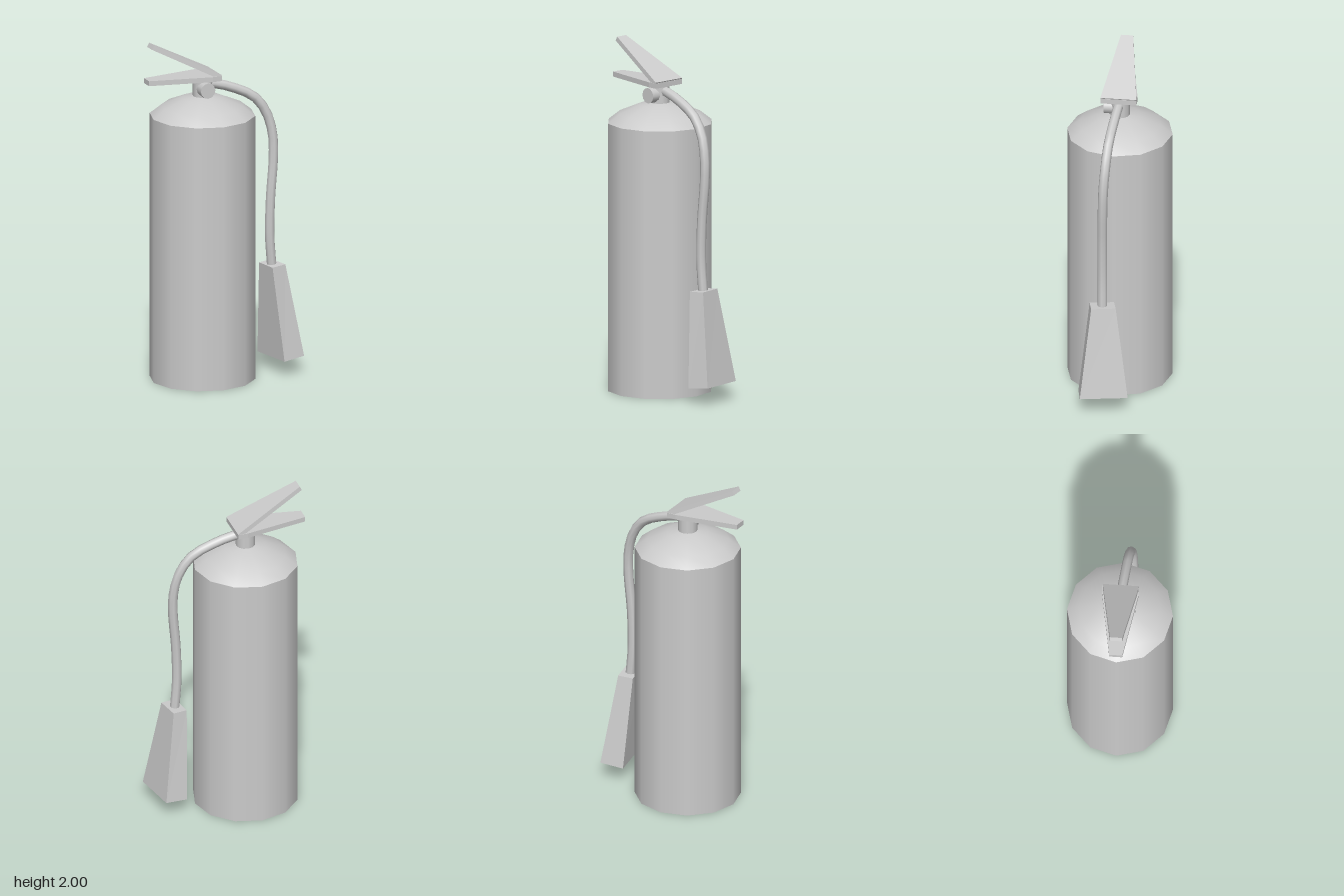
import * as THREE from 'three';

const CX = -0.108; // tank axis

export function createModel() {
  const group = new THREE.Group();
  const grey = new THREE.MeshStandardMaterial({ color: 0xcccccc });
  const thin = new THREE.MeshStandardMaterial({ color: 0xcccccc, side: THREE.DoubleSide });

  const add = (name, geometry, x = 0, y = 0, z = 0, material = grey) => {
    const mesh = new THREE.Mesh(geometry, material);
    mesh.name = name;
    mesh.position.set(x, y, z);
    group.add(mesh);
    return mesh;
  };

  // Flat plate from half an outline (x, half width), top surface at y = 0
  const plate = (half, thickness) => {
    const mirrored = half.map(([x, w]) => [x, -w]).reverse();
    const shape = new THREE.Shape([...half, ...mirrored].map(([x, w]) => new THREE.Vector2(x, w)));
    return new THREE.ExtrudeGeometry(shape, { depth: thickness, bevelEnabled: false })
      .rotateX(-Math.PI / 2)
      .translate(0, -thickness, 0);
  };

  // Tank and its domed shoulder
  add('tank', new THREE.CylinderGeometry(0.302, 0.302, 1.55, 12), CX, 0.775, 0);
  const domeProfile = [[0.302, 1.55], [0.235, 1.603], [0.118, 1.652], [0, 1.672]];
  add('dome', new THREE.LatheGeometry(domeProfile.map(([r, y]) => new THREE.Vector2(r, y)), 12), CX);

  // Valve neck and pressure gauge
  add('valveNeck', new THREE.CylinderGeometry(0.056, 0.056, 0.14, 12), CX, 1.7, 0);
  add('gauge', new THREE.CylinderGeometry(0.045, 0.045, 0.09, 12).rotateX(Math.PI / 2), -0.112, 1.71, 0.045);

  // Fixed carrying handle and raised squeeze lever
  add('carryHandle', plate([[-0.032, 0.103], [-0.088, 0.103], [-0.455, 0.037]], 0.029), 0, 1.793, 0);
  const lever = add('squeezeLever', plate([[0, 0.103], [-0.44, 0.035]], 0.027), -0.032, 1.799, 0);
  lever.rotation.z = THREE.MathUtils.degToRad(-27.1);

  // Hose bending from the neck down to the horn
  const path = new THREE.CatmullRomCurve3([
    [CX, 1.738, 0], [-0.04, 1.728, 0.005], [0.075, 1.693, 0.015], [0.205, 1.625, 0.027],
    [0.275, 1.525, 0.034], [0.308, 1.4, 0.042], [0.311, 1.26, 0.046], [0.292, 1.03, 0.05],
    [0.287, 0.8, 0.05], [0.3, 0.63, 0.048],
  ].map((p) => new THREE.Vector3(...p)));
  add('hose', new THREE.TubeGeometry(path, 20, 0.028, 8), 0, 0, 0, thin);

  // Discharge horn: tapered shell, closed above and open below
  const top = [[0.248, 0.635, -0.012], [0.333, 0.641, -0.032], [0.36, 0.641, 0.105], [0.272, 0.635, 0.125]];
  const rim = [[0.27, 0.09, -0.085], [0.404, 0.105, -0.11], [0.453, 0.105, 0.158], [0.321, 0.09, 0.183]];
  const corners = [];
  const quad = (a, b, c, d) => corners.push(...a, ...b, ...c, ...a, ...c, ...d);
  quad(top[3], top[2], top[1], top[0]);
  for (let i = 0; i < 4; i++) {
    const j = (i + 1) % 4;
    quad(top[i], top[j], rim[j], rim[i]);
  }
  const horn = new THREE.BufferGeometry();
  horn.setAttribute('position', new THREE.Float32BufferAttribute(corners, 3));
  horn.computeVertexNormals();
  add('horn', horn, 0, 0, 0, thin);

  return group;
}
